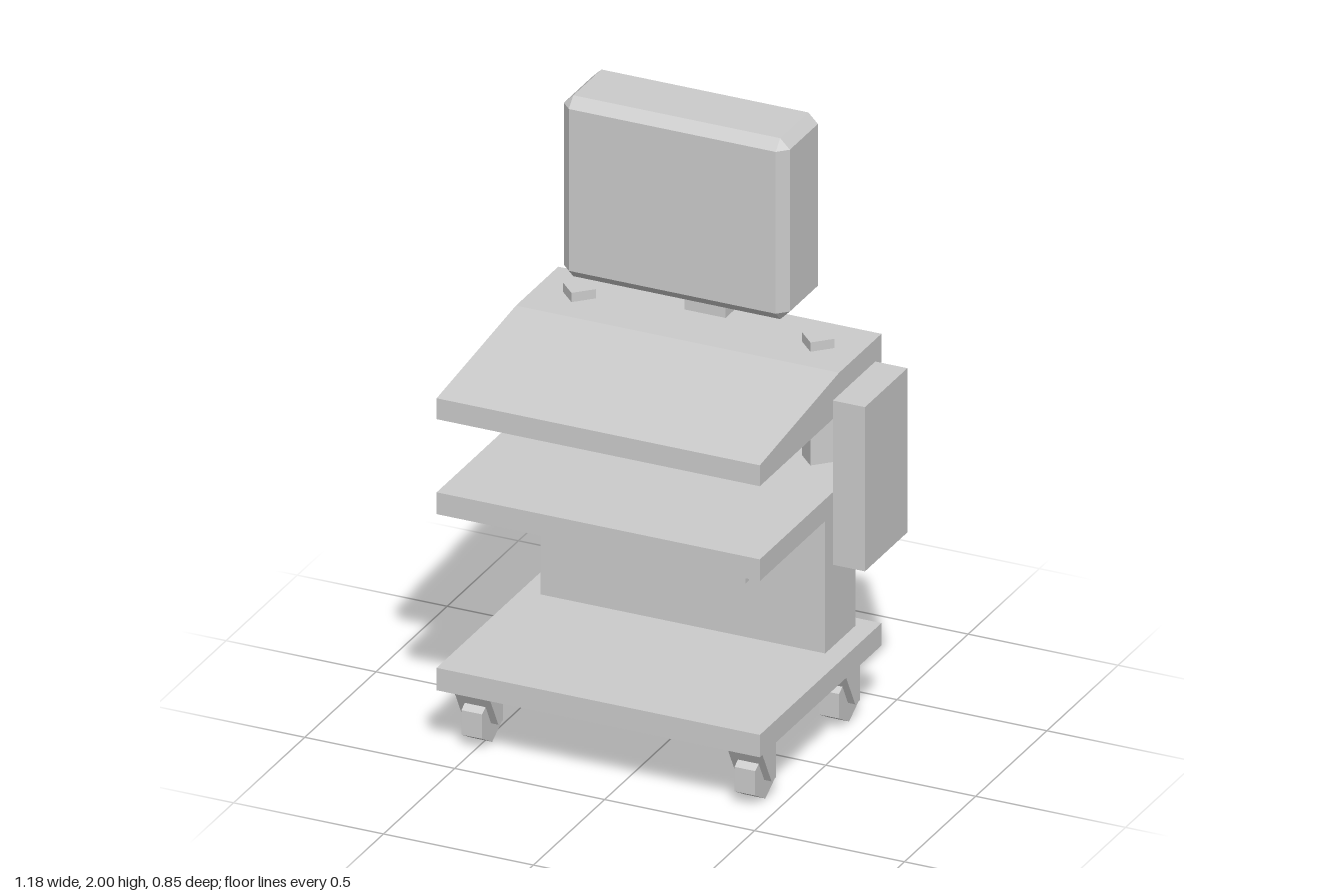
import * as THREE from 'three';
import { ConvexGeometry } from 'three/addons/geometries/ConvexGeometry.js';

const material = new THREE.MeshStandardMaterial({ color: 0xcccccc, flatShading: true });

export function createModel() {
  const model = new THREE.Group();
  model.name = 'equipmentCart';

  const add = (name, geometry, parent = model) => {
    const mesh = new THREE.Mesh(geometry, material);
    mesh.name = name;
    parent.add(mesh);
    return mesh;
  };

  // Box given by its limits on each axis
  const box = (name, [x0, x1], [y0, y1], [z0, z1]) =>
    add(name, new THREE.BoxGeometry(x1 - x0, y1 - y0, z1 - z0)
      .translate((x0 + x1) / 2, (y0 + y1) / 2, (z0 + z1) / 2));

  // Side profile of [z, y] points, extruded from x0 to x1
  const prism = (name, points, x0, x1, parent) => {
    const shape = new THREE.Shape(points.map(([z, y]) => new THREE.Vector2(z, y)));
    const geometry = new THREE.ExtrudeGeometry(shape, { depth: x1 - x0, bevelEnabled: false });
    return add(name, geometry.rotateY(-Math.PI / 2).translate(x1, 0, 0), parent);
  };

  // Shelves and sloped worktop
  const deckX = [-0.595, 0.483], deckZ = [-0.427, 0.427];
  box('baseShelf', deckX, [0.21, 0.285], deckZ);
  box('middleShelf', deckX, [0.8, 0.873], deckZ);
  prism('worktop', [[0.427, 1.118], [0.427, 1.188], [-0.13, 1.254], [-0.427, 1.254], [-0.427, 1.118]], ...deckX);

  // Cabinet, its front panel and the box hung on the left side
  box('cabinet', [-0.53, 0.42], [0.285, 0.8], [-0.378, -0.165]);
  box('cabinetPanel', [-0.07, 0.165], [0.476, 0.71], [-0.165, -0.142]);
  box('sideBox', [0.483, 0.59], [0.63, 1.18], [-0.384, -0.086]);

  // Square posts turned by 45 degrees
  for (const x of [-0.454, 0.343]) {
    const post = add('post', new THREE.CylinderGeometry(0.055, 0.055, 0.412, 4));
    post.position.set(x, 1.079, -0.278);
  }

  // Monitor: bevelled front and clipped corners
  const cx = -0.057, cy = 1.697, hx = 0.377, hy = 0.303, c = 0.032;
  const front = -0.095, back = -0.324;
  const corners = [];
  for (const sx of [-1, 1]) for (const sy of [-1, 1]) {
    const corner = (dx, dy, z) => corners.push(new THREE.Vector3(cx + sx * (hx - dx), cy + sy * (hy - dy), z));
    corner(c, c, front);
    for (const z of [front - c, back]) {
      corner(c, 0, z);
      corner(0, c, z);
    }
  }
  add('monitor', new ConvexGeometry(corners));
  prism('monitorStand', [[-0.324, 1.25], [-0.324, 1.645], [-0.351, 1.645], [-0.396, 1.25]], -0.125, 0.012);

  // Casters with tapered forks and six-sided wheels
  for (const x of [-0.511, 0.4]) for (const z of [0.286, -0.302]) {
    const caster = new THREE.Group();
    caster.name = 'caster';
    caster.position.set(x, 0, z);
    prism('casterFork', [[0.087, 0.21], [-0.024, 0.21], [-0.024, 0.066], [0.008, 0.066]], -0.059, 0.059, caster);
    const wheel = add('casterWheel', new THREE.CylinderGeometry(0.082, 0.082, 0.069, 6, 1, false, Math.PI / 6), caster);
    wheel.rotation.z = Math.PI / 2;
    wheel.position.y = 0.082;
    model.add(caster);
  }

  return model;
}
